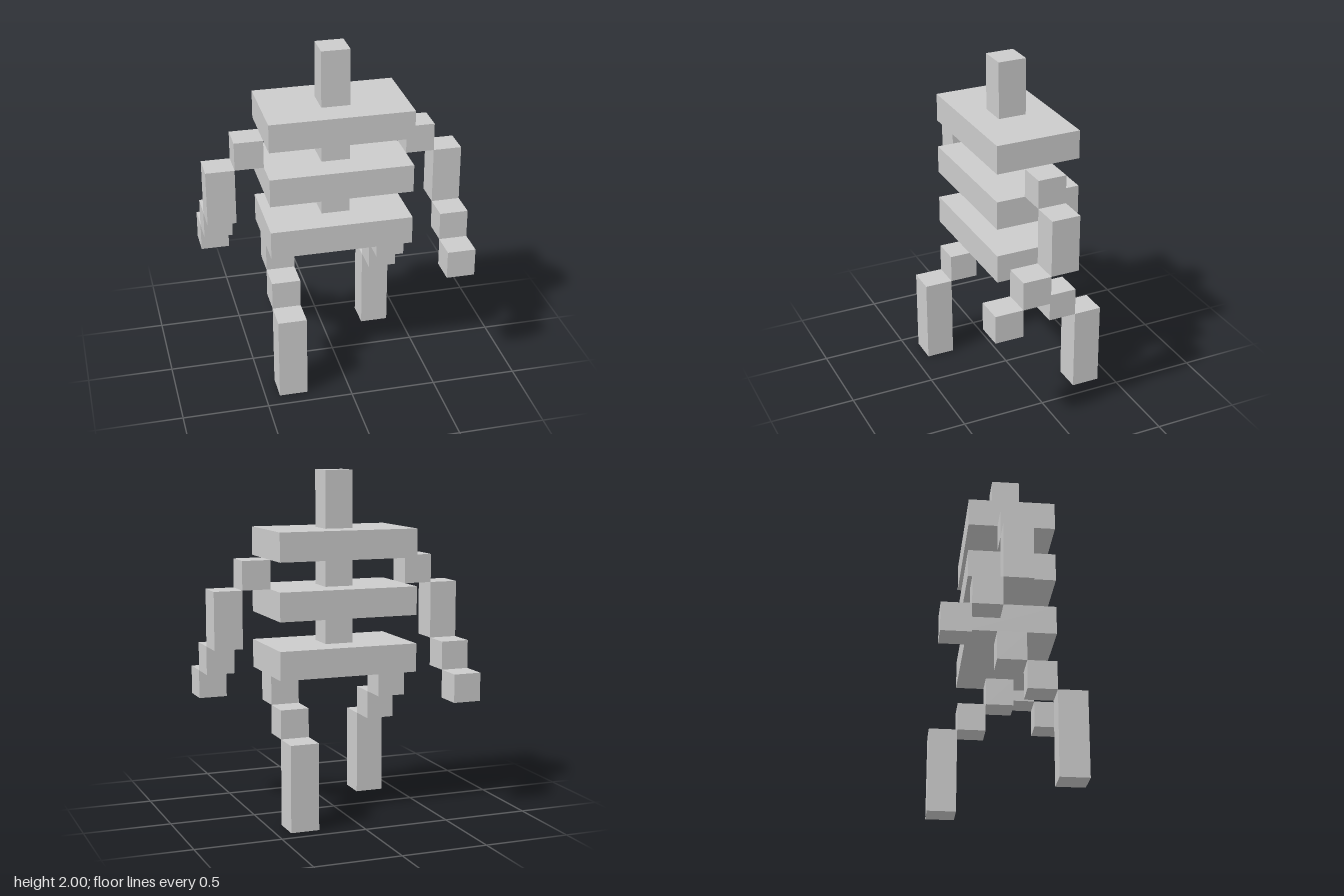
import * as THREE from 'three';

// All parts sit on a cubic grid of this cell size
const U = 1 / 6;
const material = new THREE.MeshStandardMaterial({ color: 0xcccccc, flatShading: true });

// Box between two grid corners
function block(name, [x0, y0, z0], [x1, y1, z1]) {
  const geometry = new THREE.BoxGeometry((x1 - x0) * U, (y1 - y0) * U, (z1 - z0) * U);
  const mesh = new THREE.Mesh(geometry, material);
  mesh.position.set((x0 + x1) / 2 * U, (y0 + y1) / 2 * U, (z0 + z1) / 2 * U);
  mesh.name = name;
  return mesh;
}

// Arm on +x, stepping down and forward to the hand
function createArm(name) {
  const arm = new THREE.Group();
  arm.name = name;
  arm.add(
    block('shoulder', [2.5, 8, -0.5], [3.5, 9, 0.5]),
    block('upperArm', [3.5, 6, -0.5], [4.5, 8, 0.5]),
    block('forearm', [3.5, 5, 0.5], [4.5, 6, 1.5]),
    block('hand', [3.5, 4, 1.5], [4.5, 5, 2.5])
  );
  return arm;
}

// Leg on +x, stepping down and backward to the shin
function createLeg(name) {
  const leg = new THREE.Group();
  leg.name = name;
  leg.add(
    block('hip', [1.5, 4, -0.5], [2.5, 5, 0.5]),
    block('thigh', [1.5, 3, -1.5], [2.5, 4, -0.5]),
    block('shin', [1.5, 0, -2.5], [2.5, 3, -1.5])
  );
  return leg;
}

export function createModel() {
  const model = new THREE.Group();
  model.name = 'blockFigure';

  // Torso plates joined by spine segments, with the head on top
  for (const [name, y] of [['pelvis', 5], ['ribPlate', 7], ['shoulderPlate', 9]]) {
    model.add(block(name, [-2.5, y, -1.5], [2.5, y + 1, 1.5]));
  }
  model.add(
    block('lowerSpine', [-0.5, 6, -0.5], [0.5, 7, 0.5]),
    block('upperSpine', [-0.5, 8, -0.5], [0.5, 9, 0.5]),
    block('head', [-0.5, 10, -0.5], [0.5, 12, 0.5])
  );

  // Limbs in mid-stride: each right limb is its left one turned half way round
  for (const side of ['left', 'right']) {
    for (const limb of [createArm(side + 'Arm'), createLeg(side + 'Leg')]) {
      if (side === 'right') limb.rotation.y = Math.PI;
      model.add(limb);
    }
  }
  return model;
}
